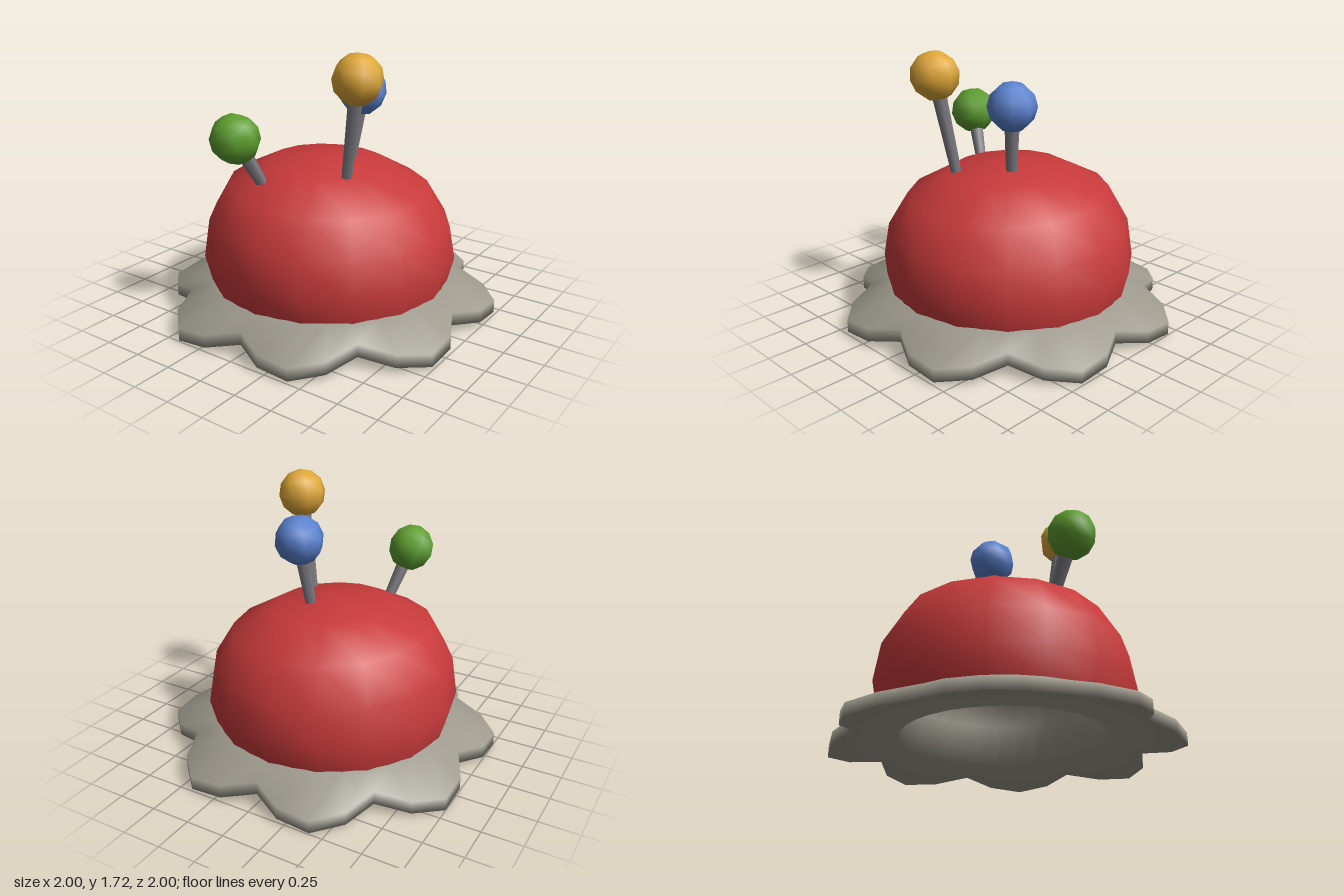
import * as THREE from 'three';
import { mergeVertices } from 'three/addons/utils/BufferGeometryUtils.js';

const material = (name, color) => new THREE.MeshStandardMaterial({ name, color });

// The upper part of the dome leans slightly higher at the back
const lean = (y, z) => y - 0.05 * THREE.MathUtils.clamp((y - 0.375) / 0.4, 0, 1) * z;

// Dome: 16-sided lathe
function domeGeometry() {
  const profile = [[0.77, 0.2], [0.813, 0.375], [0.775, 0.605], [0.645, 0.825], [0.38, 0.965], [0, 1.025]];
  const lathe = new THREE.LatheGeometry(profile.map(([r, y]) => new THREE.Vector2(r, y)), 16);
  lathe.deleteAttribute('uv');
  lathe.deleteAttribute('normal');
  const geometry = mergeVertices(lathe, 1e-4);
  const p = geometry.attributes.position;
  for (let i = 0; i < p.count; i++) p.setY(i, lean(p.getY(i), p.getZ(i)));
  geometry.computeVertexNormals();
  return geometry;
}

// Skirt: rings running out over eight petals, back underneath to the lip, then up inside the hollow dome
function skirtGeometry() {
  const sides = 32;
  const petal = [0, 0.66, 1, 0.66];
  const rings = [
    () => [0.765, 0.212],
    (k) => [0.905 + 0.175 * k, 0.15 - 0.058 * k],
    (k) => [0.905 + 0.175 * k, 0.067 - 0.056 * k],
    () => [0.635, 0.085],
    () => [0.625, 0.36],
    () => [0.585, 0.52],
    () => [0.475, 0.67],
    () => [0.28, 0.785],
    () => [0, 0.83],
  ];
  const positions = [];
  const index = [];
  rings.forEach((ring, j) => {
    for (let i = 0; i < sides; i++) {
      const a = (i / sides) * Math.PI * 2;
      const [r, y] = ring(petal[i % 4]);
      const z = r * Math.cos(a);
      positions.push(r * Math.sin(a), lean(y, z) + (j < 4 ? 0.01 * z : 0), z);
      if (j === rings.length - 1) continue;
      const n = (i + 1) % sides;
      const A = j * sides + i, B = A + sides, C = (j + 1) * sides + n, D = j * sides + n;
      index.push(A, B, D);
      if (j < rings.length - 2) index.push(B, C, D);
    }
  });
  const geometry = new THREE.BufferGeometry();
  geometry.setAttribute('position', new THREE.Float32BufferAttribute(positions, 3));
  geometry.setIndex(index);
  const merged = mergeVertices(geometry, 1e-4);
  merged.computeVertexNormals();
  return merged;
}

// Pin: tapered stem from the dome to a low-poly ball head
function createPin(name, base, head, stemMaterial, headMaterial) {
  const from = new THREE.Vector3(...base);
  const to = new THREE.Vector3(...head);
  const axis = to.clone().sub(from);
  const length = axis.length();
  const pin = new THREE.Group();
  pin.name = name;
  pin.position.copy(from);
  pin.quaternion.setFromUnitVectors(new THREE.Vector3(0, 1, 0), axis.normalize());

  const stem = new THREE.Mesh(new THREE.CylinderGeometry(0.052, 0.035, length + 0.03, 6), stemMaterial);
  stem.name = name + 'Stem';
  stem.position.y = length / 2 - 0.015;

  const ball = new THREE.Mesh(new THREE.SphereGeometry(0.154, 8, 6), headMaterial);
  ball.name = name + 'Head';
  ball.position.y = length;

  pin.add(stem, ball);
  return pin;
}

export function createModel() {
  const model = new THREE.Group();
  model.name = 'pincushion';

  const dome = new THREE.Mesh(domeGeometry(), material('red fabric', 0xc83a3b));
  dome.name = 'cushionDome';
  const skirt = new THREE.Mesh(skirtGeometry(), material('grey fabric', 0x9d998d));
  skirt.name = 'scallopedSkirt';
  model.add(dome, skirt);

  const steel = material('steel', 0x7b7b82);
  model.add(
    createPin('yellowPin', [-0.2, 0.96, 0.265], [-0.255, 1.572, 0.372], steel, material('yellow', 0xdfa738)),
    createPin('bluePin', [0.12, 1.0, 0.09], [0.17, 1.41, 0.135], steel, material('blue', 0x5a82cf)),
    createPin('greenPin', [-0.46, 0.92, -0.19], [-0.6, 1.202, -0.26], steel, material('green', 0x5e9e30)),
  );
  return model;
}
